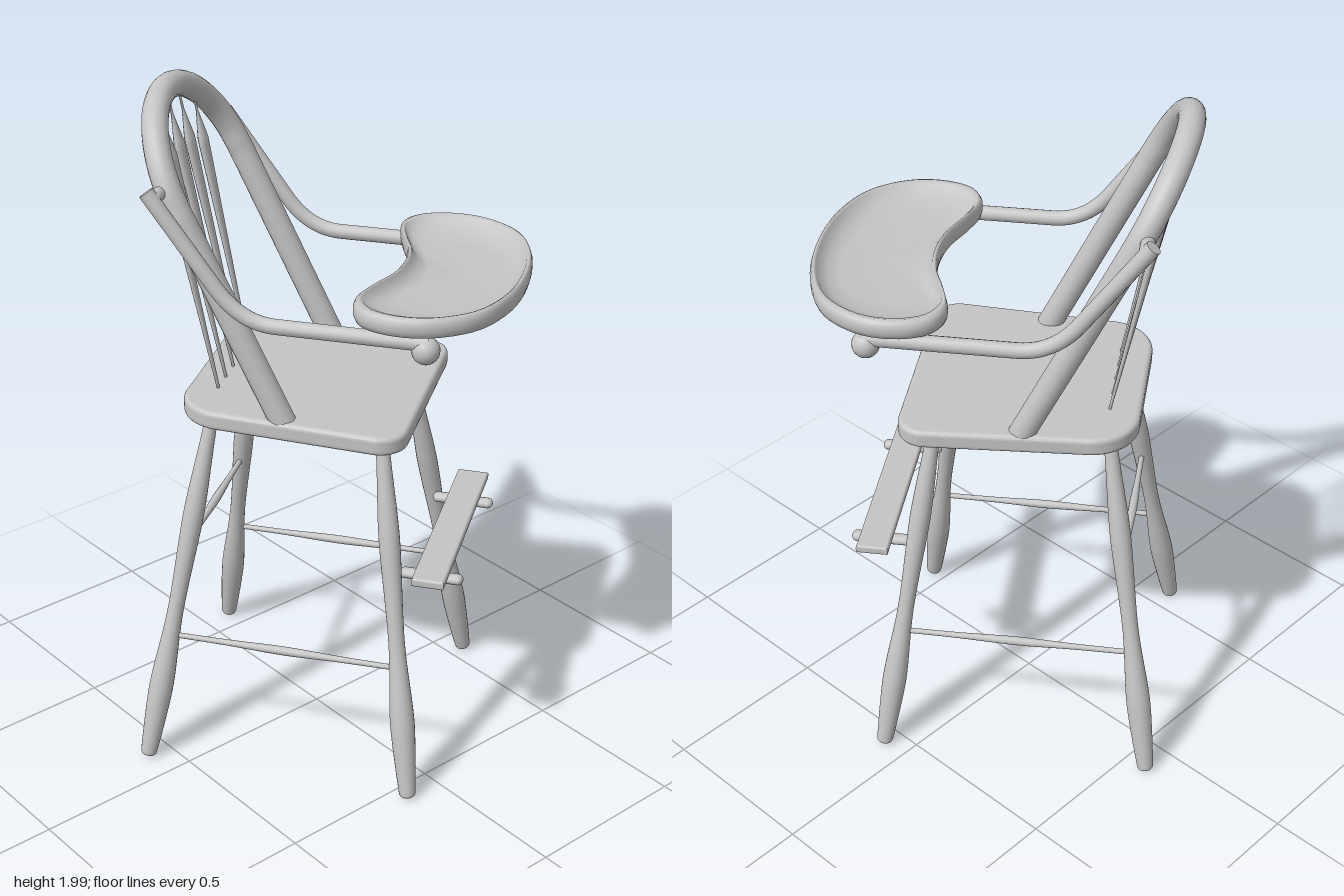
import * as THREE from 'three';

const V = (x, y, z) => new THREE.Vector3(x, y, z);

export function createModel() {
  const paint = new THREE.MeshStandardMaterial({ color: 0xc4c4c4 });
  paint.name = 'plain grey';
  const model = new THREE.Group();
  model.name = 'highChair';
  const chair = new THREE.Group();
  chair.name = 'turnedChair';
  chair.rotation.y = 0.61;
  model.add(chair);

  const add = (name, geometry) => {
    const mesh = new THREE.Mesh(geometry, paint);
    mesh.name = name;
    chair.add(mesh);
    return mesh;
  };

  // Turned piece between two points; profile is [radius, fraction of length]
  const turned = (name, profile, a, b, { smooth = true, flat = 1, sides = 20 } = {}) => {
    const axis = b.clone().sub(a);
    const length = axis.length();
    let pts = profile.map(([r, t]) => new THREE.Vector2(r, t * length));
    if (smooth) pts = new THREE.SplineCurve(pts).getPoints(40);
    pts.forEach((p) => { p.x = Math.max(p.x, 0); });
    const geometry = new THREE.LatheGeometry(pts, sides);
    geometry.scale(1, 1, flat);
    const mesh = add(name, geometry);
    mesh.position.copy(a);
    mesh.quaternion.setFromUnitVectors(V(0, 1, 0), axis.normalize());
    return mesh;
  };

  // Seat: wide front corners, larger rounded back corners
  const seat = new THREE.Shape();
  seat.absarc(0.26, 0.25, 0.08, 0, Math.PI / 2);
  seat.absarc(-0.26, 0.25, 0.08, Math.PI / 2, Math.PI);
  seat.absarc(-0.17, -0.2, 0.14, Math.PI, Math.PI * 1.5);
  seat.absarc(0.17, -0.2, 0.14, Math.PI * 1.5, Math.PI * 2);
  seat.closePath();
  const bevel = 0.014;
  const seatGeometry = new THREE.ExtrudeGeometry(seat, {
    depth: 0.055 - 2 * bevel, bevelSize: bevel, bevelThickness: bevel,
    bevelOffset: -bevel, bevelSegments: 4, curveSegments: 14,
  });
  seatGeometry.rotateX(Math.PI / 2);
  add('seat', seatGeometry).position.y = 1.135 - bevel;

  // Legs
  const legProfile = [[0, 0], [0.02, 0.002], [0.026, 0.03], [0.035, 0.17], [0.034, 0.25], [0.025, 0.38],
    [0.024, 0.48], [0.03, 0.66], [0.029, 0.75], [0.021, 0.9], [0.018, 1]];
  const foot = (sx, front) => V(0.41 * sx, 0.008, front ? 0.385 : -0.415);
  const legTop = (sx, front) => V(0.183 * sx, 1.1, front ? 0.235 : -0.253);
  const onLeg = (sx, front, y) => foot(sx, front).lerp(legTop(sx, front), (y - 0.008) / 1.092);
  for (const sx of [-1, 1]) {
    turned('frontLeg', legProfile, foot(sx, true), legTop(sx, true));
    turned('backLeg', legProfile, foot(sx, false), legTop(sx, false));
  }

  // Stretchers
  const rod = [[0.008, 0], [0.009, 0.25], [0.013, 0.5], [0.009, 0.75], [0.008, 1]];
  for (const sx of [-1, 1]) turned('sideStretcher', rod, onLeg(sx, false, 0.395), onLeg(sx, true, 0.395), { sides: 12 });
  turned('backStretcher', rod, onLeg(-1, false, 0.682), onLeg(1, false, 0.682), { sides: 12 });

  // Footrest board with a rounded outline, on two short pegs
  const board = new THREE.Shape();
  const bw = 0.328, bz = 0.04;
  board.moveTo(-bw, -bz).lineTo(bw, -bz).lineTo(bw, bz).lineTo(-bw, bz).closePath();
  const boardGeometry = new THREE.ExtrudeGeometry(board, {
    depth: 0.012, bevelSize: 0.007, bevelThickness: 0.007, bevelSegments: 3,
  });
  boardGeometry.rotateX(Math.PI / 2);
  add('footrest', boardGeometry).position.set(0, 0.698, 0.41);
  for (const sx of [-1, 1]) {
    const peg = new THREE.CapsuleGeometry(0.015, 0.155, 6, 14);
    peg.rotateX(Math.PI / 2);
    peg.scale(1.3, 1, 1);
    add('footrestPeg', peg).position.set(0.228 * sx, 0.657, 0.4);
  }

  // Backrest hoop, lying in a plane that leans back
  const lean = (u, t) => V(u, 1.12 + 0.898 * t, -0.02 - 0.438 * t);
  const R = 0.282, rise = 0.655;
  const hoop = new THREE.CurvePath();
  hoop.add(new THREE.LineCurve3(lean(-R, 0), lean(-R, rise)));
  const arch = [];
  for (let i = 0; i <= 12; i++) {
    const a = Math.PI * (1 - i / 12);
    arch.push(lean(R * Math.cos(a), rise + R * Math.sin(a)));
  }
  hoop.add(new THREE.CatmullRomCurve3(arch));
  hoop.add(new THREE.LineCurve3(lean(R, rise), lean(R, 0)));
  add('backHoop', new THREE.TubeGeometry(hoop, 90, 0.037, 16));

  // Arrow-shaped spindles
  const arrow = [[0.007, 0], [0.012, 0.25], [0.025, 0.79], [0.025, 0.815], [0.006, 0.91], [0.005, 1]];
  for (let i = -2; i <= 2; i++) {
    const u = 0.08 * i;
    turned('spindle', arrow, V(0.073 * i, 1.125, -0.25), lean(u, rise + Math.sqrt(R * R - u * u)),
      { smooth: false, flat: 0.55, sides: 12 });
  }

  // Bent arms with end knobs and the pins that join them to the hoop
  for (const sx of [-1, 1]) {
    const x = 0.352 * sx;
    const arm = new THREE.CurvePath();
    const top = V(x, 1.79, -0.372), bendA = V(x, 1.535, -0.185), bendB = V(x, 1.443, -0.02), end = V(x, 1.443, 0.4);
    arm.add(new THREE.LineCurve3(top, bendA));
    arm.add(new THREE.QuadraticBezierCurve3(bendA, V(x, 1.443, -0.117), bendB));
    arm.add(new THREE.LineCurve3(bendB, end));
    add('arm', new THREE.TubeGeometry(arm, 60, 0.022, 14));
    const cap = add('armTopCap', new THREE.CircleGeometry(0.022, 14));
    cap.position.copy(top);
    cap.quaternion.setFromUnitVectors(V(0, 0, 1), top.clone().sub(bendA).normalize());
    add('armKnob', new THREE.SphereGeometry(0.039, 20, 14)).position.set(0.348 * sx, 1.422, 0.39);
    const pin = add('armPin', new THREE.CapsuleGeometry(0.019, 0.06, 6, 12));
    pin.position.set(0.312 * sx, 1.772, -0.352);
    pin.rotation.z = Math.PI / 2;
  }

  // Kidney-shaped tray: scaled copies of one outline, with a raised rim and dished floor
  const half = [[0.1, 0.238], [0.2, 0.2], [0.29, 0.178], [0.36, 0.21], [0.396, 0.29], [0.388, 0.4], [0.31, 0.515], [0.17, 0.58]];
  const outline = new THREE.CatmullRomCurve3([
    V(0, 0, 0.25), ...half.map(([x, z]) => V(x, 0, z)),
    V(0, 0, 0.6), ...half.map(([x, z]) => V(-x, 0, z)).reverse(),
  ], true).getPoints(80).slice(0, -1);
  const rings = [[0, 1.466], [0.93, 1.466], [0.98, 1.472], [1, 1.488], [1, 1.508], [0.98, 1.521],
    [0.95, 1.526], [0.915, 1.521], [0.89, 1.51], [0.78, 1.492], [0.6, 1.484], [0, 1.482]];
  const positions = [], index = [], n = outline.length;
  rings.forEach(([s, y], j) => {
    outline.forEach((p, i) => {
      positions.push(p.x * s, y, 0.41 + (p.z - 0.41) * s);
      if (j === rings.length - 1) return;
      const a = j * n + i, c = j * n + (i + 1) % n;
      index.push(a, a + n, c, c, a + n, c + n);
    });
  });
  const tray = new THREE.BufferGeometry();
  tray.setAttribute('position', new THREE.Float32BufferAttribute(positions, 3));
  tray.setIndex(index);
  tray.computeVertexNormals();
  add('tray', tray);

  return model;
}
